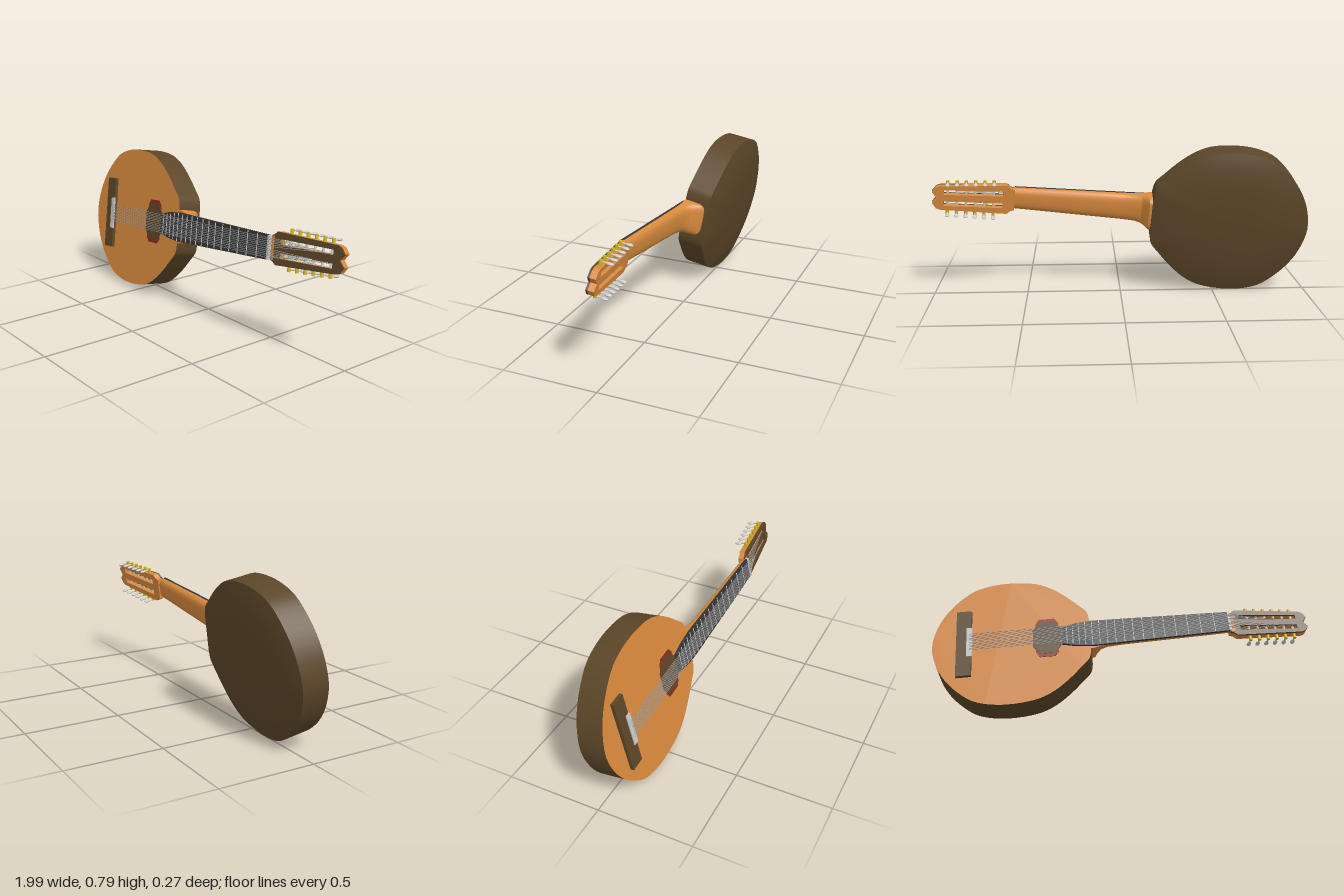
import * as THREE from 'three';
import { toCreasedNormals } from 'three/addons/utils/BufferGeometryUtils.js';

const V = (x, y, z) => new THREE.Vector3(x, y, z);
const mat = (color, side = THREE.FrontSide) => new THREE.MeshStandardMaterial({ color, side });
const spruce = mat(0xd98a3e), walnut = mat(0x5c4628), ebony = mat(0x363636);
const red = mat(0x8b2a20), gold = mat(0xd4b420), steel = mat(0xcccccc), wire = mat(0x999999);

function add(parent, name, geometry, material, x = 0, y = 0, z = 0) {
  const mesh = new THREE.Mesh(geometry, material);
  mesh.name = name;
  mesh.position.set(x, y, z);
  parent.add(mesh);
  return mesh;
}

// Skin joining closed rings of equal point count
function loft(rings, crease = 0.5) {
  const n = rings[0].length, index = [];
  for (let r = 0; r < rings.length - 1; r++)
    for (let i = 0; i < n; i++) {
      const j = (i + 1) % n, a = r * n, b = a + n;
      index.push(a + i, b + i, a + j, a + j, b + i, b + j);
    }
  const g = new THREE.BufferGeometry().setFromPoints(rings.flat());
  g.setIndex(index);
  return toCreasedNormals(g, crease);
}

// Closed shape mirrored across the x axis from its upper half
function mirrored(half) {
  const lower = half.filter(p => p[1] > 0).reverse().map(([x, y]) => [x, -y]);
  return new THREE.Shape([...half, ...lower].map(([x, y]) => new THREE.Vector2(x, y)));
}
const slab = (shape, depth) => new THREE.ExtrudeGeometry(shape, { depth, bevelEnabled: false });

// Thin round rod between two points
function rod(parent, name, a, b, r, material, sides = 6) {
  const d = b.clone().sub(a);
  const m = add(parent, name, new THREE.CylinderGeometry(r, r, d.length(), sides), material);
  m.position.copy(a).add(b).multiplyScalar(0.5);
  m.quaternion.setFromUnitVectors(V(0, 1, 0), d.normalize());
  return m;
}

function buildBody(g) {
  const half = [[0.435, 0.1], [0.424, 0.15], [0.384, 0.195], [0.32, 0.262], [0.234, 0.332], [0.15, 0.371],
    [0.02, 0.388], [-0.085, 0.381], [-0.18, 0.352], [-0.255, 0.295], [-0.325, 0.215], [-0.375, 0.12]];
  const pts = [...half, [-0.4, 0], ...half.slice().reverse().map(([x, y]) => [x, -y])];
  const outline = new THREE.CatmullRomCurve3(pts.map(([x, y]) => V(x, y, 0)), false, 'centripetal').getPoints(72);
  const ring = (s, z) => outline.map(p => V(p.x * s, p.y * s, z));
  // Straight sides, then a gently domed back
  const dome = [1, 0.92, 0.82, 0.7, 0.55, 0.35, 0.15, 0.001];
  add(g, 'sidesAndBack', loft([ring(1, 0), ...dome.map(s => ring(s, -0.14 - 0.043 * (1 - s ** 3)))], 0.45), walnut);
  add(g, 'soundboard', new THREE.ShapeGeometry(new THREE.Shape(outline)), spruce);

  // Sound hole and its red surround
  const octagon = (w, h, c) => mirrored([[w, h - c * 1.4], [w - c, h], [c - w, h], [-w, h - c * 1.4]]);
  add(g, 'rosette', slab(octagon(0.06, 0.12, 0.02), 0.003), red, 0.208);
  add(g, 'soundHole', slab(octagon(0.075, 0.1, 0.035), 0.005), walnut, 0.208);

  // Bridge and saddle
  add(g, 'bridge', new THREE.BoxGeometry(0.08, 0.41, 0.018), walnut, -0.23, 0, 0.009);
  add(g, 'saddle', new THREE.BoxGeometry(0.03, 0.18, 0.008), steel, -0.2, 0, 0.02);
}

function buildNeck(g) {
  // Heel flaring into a rounded neck: x, half width, depth, roundness power
  const sections = [[0.41, 0.09, 0.122, 0.35], [0.45, 0.09, 0.12, 0.35], [0.465, 0.086, 0.09, 0.45],
    [0.485, 0.081, 0.062, 0.55], [0.52, 0.077, 0.047, 0.65], [0.6, 0.074, 0.041, 0.7], [1.2, 0.058, 0.034, 0.7]];
  const steps = 14;
  add(g, 'neck', loft(sections.map(([x, w, d, p]) => Array.from({ length: steps + 1 }, (_, i) => {
    const c = Math.cos(Math.PI * i / steps), s = Math.max(0, Math.sin(Math.PI * i / steps));
    return V(x, w * Math.sign(c) * Math.abs(c) ** p, -d * s ** p);
  }))), spruce);

  add(g, 'fretboard', slab(mirrored([[1.17, 0.06], [0.45, 0.079], [0.36, 0.07], [0.285, 0.052]]), 0.012), ebony);
  // Frets spaced by equal temperament
  for (let n = 1; n <= 17; n++) {
    const x = 1.17 - 1.37 * (1 - 2 ** (-n / 12));
    const w = x > 0.45 ? 0.06 + (1.17 - x) * 0.026 : 0.079 - (0.45 - x) * 0.16;
    add(g, 'fret', new THREE.BoxGeometry(0.004, 2 * w - 0.004, 0.003), steel, x, 0, 0.013);
  }
  add(g, 'nut', new THREE.BoxGeometry(0.012, 0.118, 0.018), steel, 1.174, 0, 0.008);
}

function buildHead(g) {
  const head = new THREE.Group();
  head.name = 'headstock';
  head.position.set(1.17, 0, -0.002);
  head.rotation.y = 0.12;
  g.add(head);

  // Slotted plate with a dark face and light back
  const plate = mirrored([[0.405, 0], [0.43, 0.03], [0.41, 0.058], [0.39, 0.066], [0.04, 0.08], [0.02, 0.063], [0, 0.058]]);
  for (const s of [1, -1]) {
    const slot = new THREE.Path();
    slot.moveTo(0.06, s * 0.019).lineTo(0.37, s * 0.019).lineTo(0.37, s * 0.044).lineTo(0.06, s * 0.047);
    slot.closePath();
    plate.holes.push(slot);
  }
  add(head, 'headFace', slab(plate, 0.01), walnut, 0, 0, -0.01);
  add(head, 'headBack', slab(plate, 0.03), spruce, 0, 0, -0.04);

  // Six tuners on each side
  for (const s of [1, -1])
    for (let k = 0; k < 6; k++) {
      const x = 0.11 + 0.048 * k, edge = 0.077 - (x - 0.04) * 0.04;
      rod(head, 'stringPost', V(x, s * 0.012, -0.018), V(x, s * edge, -0.018), 0.007, steel, 10);
      rod(head, 'tunerGear', V(x, s * (edge - 0.004), -0.022), V(x, s * (edge + 0.028), -0.022), 0.009, gold, 10);
      rod(head, 'tunerShaft', V(x, s * (edge + 0.02), -0.022), V(x, s * (edge + 0.02), -0.055), 0.004, steel, 8);
      const button = add(head, 'tunerButton', new THREE.SphereGeometry(1, 12, 8), steel, x, s * (edge + 0.02), -0.066);
      button.scale.set(0.012, 0.007, 0.02);
    }
}

function buildStrings(g) {
  for (const s of [1, -1])
    for (let k = 0; k < 6; k++) {
      const y = s * (0.005 + 0.0085 * (5 - k)), hx = 0.11 + 0.048 * k;
      const nut = V(1.174, y, 0.019);
      rod(g, 'string', V(-0.2, y * 1.05, 0.024), nut, 0.0015, wire, 5);
      rod(g, 'headString', nut, V(1.17 + hx, s * (0.024 + 0.003 * (5 - k)), -0.012 - 0.12 * hx), 0.0015, wire, 5);
    }
}

export function createModel() {
  const model = new THREE.Group();
  model.name = 'twelveStringGuitar';
  const g = new THREE.Group();
  g.name = 'instrument';
  buildBody(g);
  buildNeck(g);
  buildHead(g);
  buildStrings(g);
  // Leaning back with the neck slightly raised
  g.rotation.set(-0.163, -0.022, 0.083);
  g.position.set(-0.6, 0.412, 0.072);
  model.add(g);
  return model;
}
